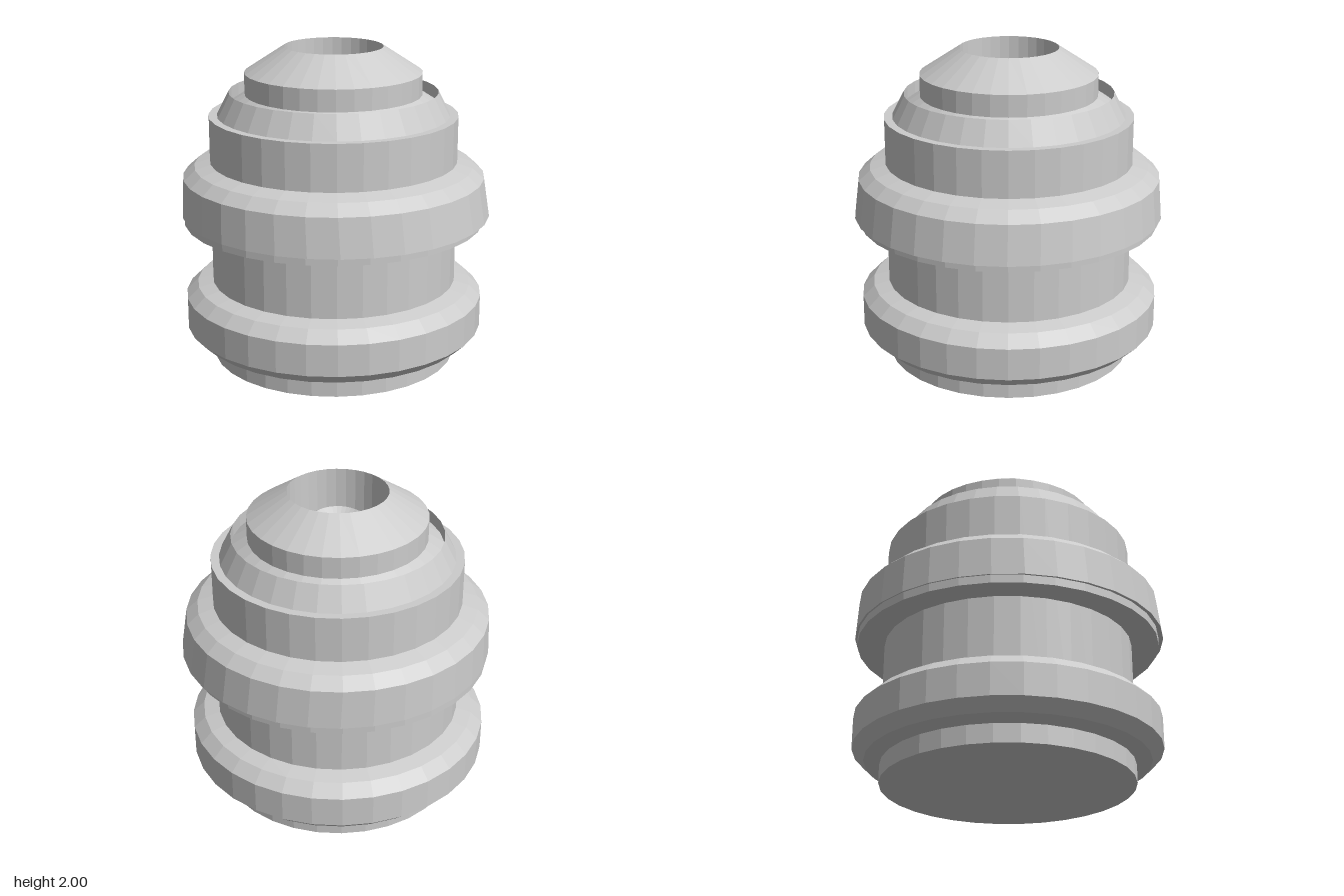
import * as THREE from 'three';

const SIDES = 32;
const material = new THREE.MeshStandardMaterial({ color: 0xcccccc, flatShading: true, side: THREE.DoubleSide });

// Revolve a [radius, height] profile around the vertical axis.
function turned(name, profile) {
  const points = profile.map(([r, y]) => new THREE.Vector2(r, y));
  const mesh = new THREE.Mesh(new THREE.LatheGeometry(points, SIDES), material);
  mesh.name = name;
  return mesh;
}

export function createModel() {
  const model = new THREE.Group();
  model.name = 'turnedHousing';
  const R = 0.782;

  // Main cylinder with a closed base and a flat upper rim
  const body = turned('body', [[0, 0], [R, 0], [R, 1.575], [0.73, 1.575]]);

  // Bevelled band around the foot
  const lowerRing = turned('lowerRing', [
    [R, 0.115], [0.88, 0.14], [0.953, 0.21], [0.953, 0.41], [0.88, 0.48], [R, 0.505],
  ]);

  // Upper band with a short lip below and a bevelled top
  const upperRing = turned('upperRing', [
    [R, 0.9], [0.953, 0.9], [0.953, 0.95], [0.977, 0.95], [0.953, 1.19], [0.88, 1.255], [R, 1.285],
  ]);
  // The flared edge sits slightly off the axis
  const pos = upperRing.geometry.attributes.position;
  for (let i = 0; i < pos.count; i++) {
    if (Math.hypot(pos.getX(i), pos.getZ(i)) > 0.965) pos.setX(i, pos.getX(i) + 0.015);
  }
  upperRing.geometry.computeVertexNormals();

  // Steep shoulder, with a sunken groove running up to the cap
  const shoulder = turned('shoulder', [[0.73, 1.575], [0.655, 1.72], [0.655, 1.64], [0.555, 1.705]]);

  // Conical cap with a straight bore
  const cap = turned('cap', [[0.555, 1.705], [0.555, 1.84], [0.31, 2], [0.31, 1.72]]);

  // Raised cone at the bottom of the bore, dished in the middle
  const boreSeat = turned('boreSeat', [[0.31, 1.72], [0.155, 1.82], [0, 1.71]]);

  model.add(body, lowerRing, upperRing, shoulder, cap, boreSeat);
  model.children.forEach((part) => { part.position.x = -0.017; });
  return model;
}
